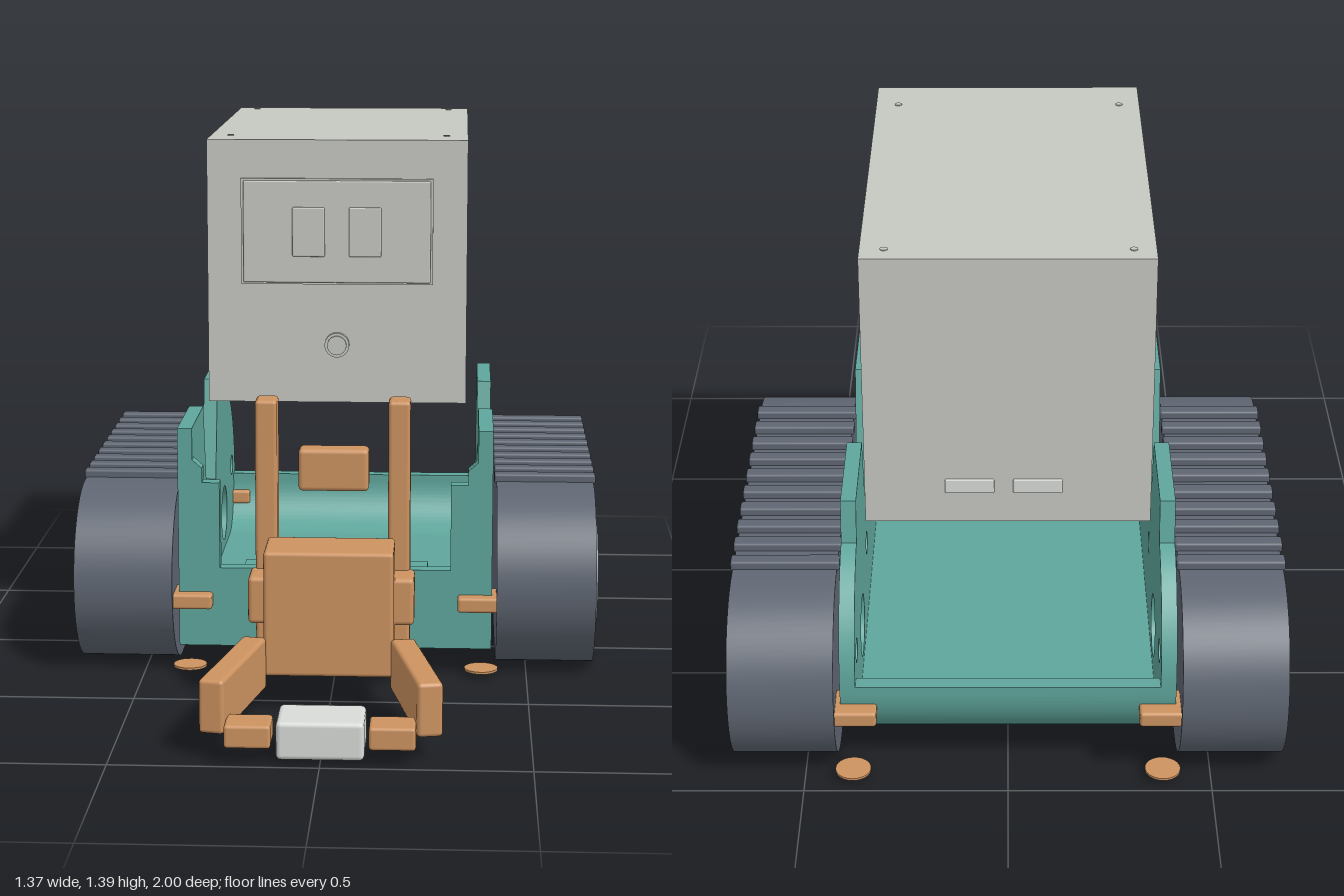
import * as THREE from 'three';
import { toCreasedNormals } from 'three/addons/utils/BufferGeometryUtils.js';
import { RoundedBoxGeometry } from 'three/addons/geometries/RoundedBoxGeometry.js';

const mat = (name, color) => {
  const m = new THREE.MeshStandardMaterial({ color });
  m.name = name;
  return m;
};
const boxGrey = mat('box grey', 0xc6c8c2);
const paleGrey = mat('pale grey', 0xd8dbd7);
const teal = mat('hull teal', 0x5fa69c);
const orange = mat('orange', 0xcd9360);
const trackGrey = mat('track grey', 0x5f6672);
const hubGrey = mat('hub grey', 0x98a0a8);

export function createModel() {
  const model = new THREE.Group();
  model.name = 'trackedRobot';

  const add = (name, geometry, material, parent = model) => {
    const mesh = new THREE.Mesh(geometry, material);
    mesh.name = name;
    parent.add(mesh);
    return mesh;
  };
  // boxes are given by their limits on each axis
  const block = (name, [x0, x1], [y0, y1], [z0, z1], material, round = 0, parent = model) => {
    const s = [x1 - x0, y1 - y0, z1 - z0];
    const g = round ? new RoundedBoxGeometry(...s, 2, round) : new THREE.BoxGeometry(...s);
    g.translate((x0 + x1) / 2, (y0 + y1) / 2, (z0 + z1) / 2);
    return add(name, g, material, parent);
  };
  const extrude = (shape, depth) => toCreasedNormals(
    new THREE.ExtrudeGeometry(shape, { depth, bevelEnabled: false, curveSegments: 24 }), 0.5);
  // side profile (z, y) pushed along x from x0 to x1
  const extrudeX = (shape, x0, x1) =>
    extrude(shape, x1 - x0).rotateY(-Math.PI / 2).translate(x1, 0, 0);
  const hole = (x, y, r) => {
    const p = new THREE.Path();
    p.absarc(x, y, r, 0, Math.PI * 2, false);
    return p;
  };

  // Tracks with cleats and hubs
  const trackShape = new THREE.Shape();
  trackShape.absarc(0.085, 0.239, 0.237, -Math.PI / 2, Math.PI / 2, false);
  trackShape.absarc(-0.763, 0.239, 0.237, Math.PI / 2, Math.PI * 1.5, false);
  for (const s of [1, -1]) {
    const track = new THREE.Group();
    track.name = s > 0 ? 'leftTrack' : 'rightTrack';
    model.add(track);
    const inner = s * 0.42, outer = s * 0.676;
    add('belt', extrudeX(trackShape, Math.min(inner, outer), Math.max(inner, outer)), trackGrey, track);
    for (let i = 0; i < 10; i++) {
      const z = 0.04 - i * 0.0843;
      block('cleat', [s * 0.548 - 0.134, s * 0.548 + 0.134], [0.47, 0.496], [z - 0.02, z + 0.02], trackGrey, 0.006, track);
    }
    for (const z of [0.085, -0.763]) {
      const hub = add('hub', new THREE.CylinderGeometry(0.145, 0.145, 0.02, 40), hubGrey, track);
      hub.rotation.z = Math.PI / 2;
      hub.position.set(s * 0.675, 0.239, z);
    }
  }

  // Hull floor curving up into the rear lip
  const floor = new THREE.Shape();
  floor.moveTo(0.26, 0.115);
  floor.lineTo(0.26, 0.075);
  floor.lineTo(-0.77, 0.075);
  floor.absarc(-0.77, 0.25, 0.175, Math.PI * 1.5, Math.PI, true);
  floor.lineTo(-0.945, 0.27);
  floor.lineTo(-0.905, 0.27);
  floor.absarc(-0.77, 0.25, 0.135, Math.PI, Math.PI * 1.5, false);
  add('hullFloor', extrudeX(floor, -0.37, 0.37), teal);

  // Hull side walls with raised fins and round holes
  const wall = new THREE.Shape();
  wall.moveTo(0.265, 0.075);
  wall.lineTo(0.265, 0.655);
  wall.lineTo(-0.03, 0.655);
  wall.lineTo(-0.105, 0.38);
  wall.lineTo(-0.35, 0.38);
  wall.lineTo(-0.425, 0.655);
  wall.lineTo(-0.712, 0.655);
  wall.lineTo(-0.732, 0.548);
  wall.bezierCurveTo(-0.83, 0.53, -0.945, 0.41, -0.945, 0.27);
  wall.lineTo(-0.945, 0.25);
  wall.absarc(-0.77, 0.25, 0.175, Math.PI, Math.PI * 1.5, false);
  wall.holes.push(hole(-0.6, 0.22, 0.08), hole(-0.35, 0.31, 0.03), hole(-0.845, 0.31, 0.03), hole(-0.09, 0.32, 0.03));
  add('leftWall', extrudeX(wall, 0.37, 0.408), teal);
  add('rightWall', extrudeX(wall, -0.408, -0.37), teal);

  // Stepped front wall with a wide notch
  const half = [[0.3, 0.285], [0.3, 0.512], [0.345, 0.512], [0.345, 0.55], [0.37, 0.572],
    [0.37, 0.655], [0.408, 0.655], [0.408, 0.1], [0.385, 0.075]];
  const outline = [...half, ...half.map(([x, y]) => [-x, y]).reverse()];
  const front = new THREE.Shape(outline.map(([x, y]) => new THREE.Vector2(x, y)));
  add('frontWall', extrude(front, 0.04).translate(0, 0, 0.226), teal);
  block('innerShelf', [-0.24, 0.24], [0.11, 0.28], [0.155, 0.23], teal);

  // Corner tabs and the small discs under them
  for (const s of [1, -1]) {
    for (const [z0, z1, zDisc] of [[0.19, 0.3, 0.25], [-0.985, -0.88, -0.932]]) {
      block('cornerTab', [s * 0.372 - 0.053, s * 0.372 + 0.053], [0.18, 0.22], [z0, z1], orange, 0.008);
      add('footDisc', new THREE.CylinderGeometry(0.044, 0.044, 0.006, 24), orange)
        .position.set(s * 0.382, 0.017, zDisc);
    }
  }

  // Cargo box on its mount
  block('boxMount', [-0.18, 0.18], [0.643, 0.706], [-0.56, -0.2], orange, 0.008);
  block('cargoBox', [-0.336, 0.336], [0.705, 1.39], [-0.885, 0.15], boxGrey);

  // Front panel: frame, plate, two switches and a knob
  const rect = (C, x, y) => new C([[-x, -y], [x, -y], [x, y], [-x, y]].map((p) => new THREE.Vector2(...p)));
  const frame = rect(THREE.Shape, 0.248, 0.137);
  frame.holes.push(rect(THREE.Path, 0.238, 0.128));
  add('panelFrame', extrude(frame, 0.01).translate(0, 1.154, 0.149), boxGrey);
  block('panelPlate', [-0.242, 0.242], [1.022, 1.286], [0.149, 0.166], boxGrey, 0.004);
  for (const x of [-0.073, 0.073])
    block('panelSwitch', [x - 0.042, x + 0.042], [1.09, 1.218], [0.16, 0.171], boxGrey, 0.004);
  for (const [r, d] of [[0.032, 0.014], [0.025, 0.02]])
    add('knob', new THREE.CylinderGeometry(r, r, d, 32).rotateX(Math.PI / 2), boxGrey)
      .position.set(0, 0.858, 0.15 + d / 2);

  // Lid screws
  for (const x of [-0.284, 0.28])
    for (const z of [-0.835, 0.03])
      add('lidScrew', new THREE.CylinderGeometry(0.009, 0.009, 0.004, 16), boxGrey).position.set(x, 1.39, z);

  // Rear slots and slanted side slits
  for (const x of [0.09, -0.07])
    block('rearSlot', [x - 0.058, x + 0.058], [0.782, 0.82], [-0.889, -0.88], paleGrey, 0.004);
  for (const [y, z] of [[1.257, -0.192], [1.222, -0.132]]) {
    const slit = add('sideSlit', new THREE.BoxGeometry(0.006, 0.17, 0.018), paleGrey);
    slit.position.set(-0.336, y, z);
    slit.rotation.x = 0.68;
  }

  // Lifting mast and carriage
  for (const s of [1, -1])
    block('mastUpright', [s * 0.169 - 0.028, s * 0.169 + 0.028], [0.095, 0.754], [0.308, 0.388], orange, 0.01);
  block('mastBlock', [-0.09, 0.09], [0.51, 0.62], [0.28, 0.345], orange, 0.012);
  block('carriageBar', [-0.21, 0.21], [0.195, 0.317], [0.365, 0.475], orange, 0.012);
  block('carriage', [-0.161, 0.161], [0.097, 0.415], [0.435, 0.6], orange, 0.01);

  // Gripper arms, fingers and the held block
  for (const s of [1, -1]) {
    const arm = add('gripperArm', new RoundedBoxGeometry(0.062, 0.132, 0.375, 2, 0.01), orange);
    arm.position.set(s * 0.221, 0.13, 0.767);
    arm.rotation.y = s * 0.2;
    block('gripperFinger', [s * 0.17 - 0.055, s * 0.17 + 0.055], [0.044, 0.1], [0.9, 0.995], orange, 0.008);
  }
  block('heldBlock', [-0.104, 0.104], [0.012, 0.105], [0.833, 0.98], paleGrey, 0.012);

  return model;
}
